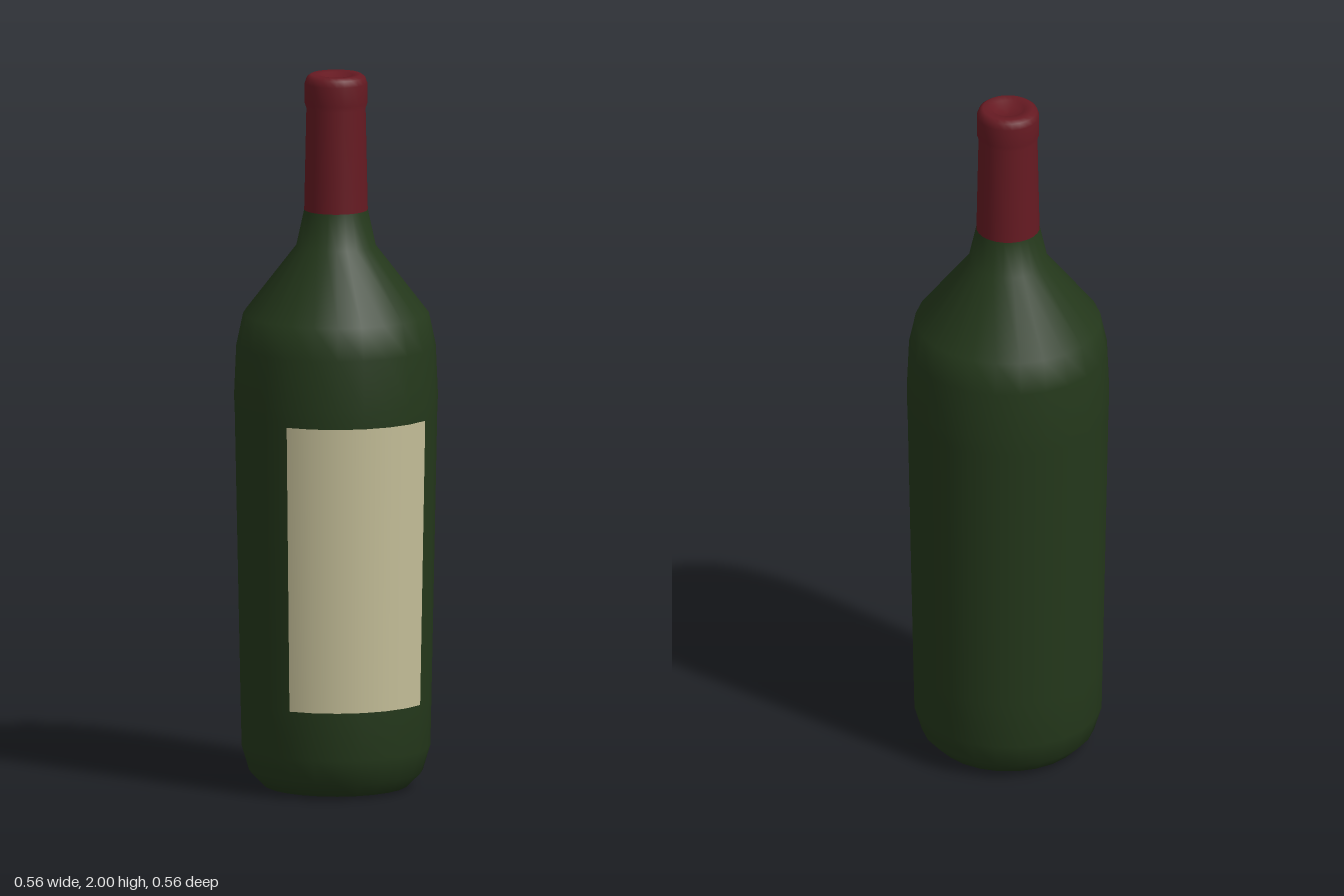
import * as THREE from 'three';

const SIDES = 24;

// Revolves a profile of [radius, height] pairs, listed from bottom to top.
function turned(name, profile, color, sides = SIDES, start = 0, sweep = Math.PI * 2) {
  const points = profile.map(([r, y]) => new THREE.Vector2(r, y));
  const mesh = new THREE.Mesh(
    new THREE.LatheGeometry(points, sides, start, sweep),
    new THREE.MeshStandardMaterial({ color })
  );
  mesh.name = name;
  return mesh;
}

export function createModel() {
  const bottle = new THREE.Group();
  bottle.name = 'bottle';

  // Glass: base, slightly flaring body, shoulder and lower neck
  bottle.add(turned('glassBody', [
    [0, 0.01], [0.2, 0.005], [0.24, 0.045], [0.261, 0.115], [0.264, 0.25],
    [0.28, 1.05], [0.282, 1.1], [0.276, 1.24], [0.257, 1.33],
    [0.11, 1.52], [0.088, 1.62],
  ], 0x24381b));

  // Foil capsule with a rolled lip and a shallow dimple on top
  bottle.add(turned('foilCapsule', [
    [0.088, 1.62], [0.082, 1.905], [0.087, 1.92], [0.087, 1.975],
    [0.081, 1.992], [0.07, 2], [0.045, 1.998], [0.036, 1.985], [0, 1.982],
  ], 0x661a22));

  // Paper label wrapped over the front quarter of the body
  const label = turned('label', [[0.266, 0.25], [0.282, 1.05]],
    0xc4be98, SIDES / 4, -Math.PI / 4, Math.PI / 2);
  label.material.side = THREE.DoubleSide;
  bottle.add(label);

  // Underside of the base
  const base = new THREE.Mesh(
    new THREE.CircleGeometry(0.2, SIDES).rotateX(Math.PI / 2),
    new THREE.MeshStandardMaterial({ color: 0x24381b })
  );
  base.name = 'base';
  bottle.add(base);

  return bottle;
}
